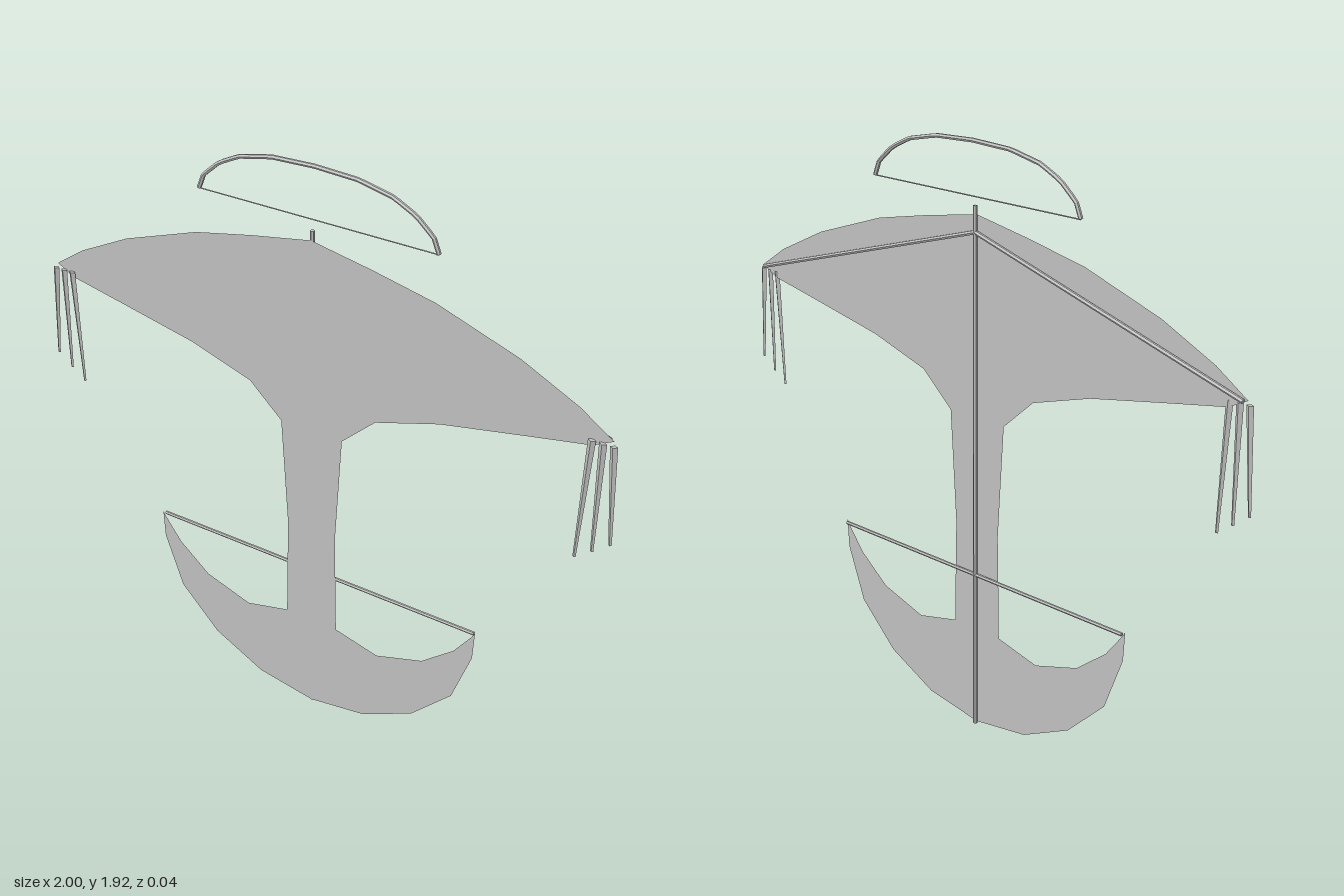
import * as THREE from 'three';

export function createModel() {
  const kite = new THREE.Group();
  kite.name = 'kite';
  const fabric = new THREE.MeshStandardMaterial({ name: 'greyFabric', color: 0xc0c0c0, side: THREE.DoubleSide });
  fabric.flatShading = true;

  const add = (name, geometry) => {
    const mesh = new THREE.Mesh(geometry, fabric);
    mesh.name = name;
    kite.add(mesh);
    return mesh;
  };

  // Straight rod between two points, optionally tapered
  const rod = (name, from, to, r0, r1 = r0, sides = 6) => {
    const a = new THREE.Vector3(...from), b = new THREE.Vector3(...to);
    const dir = b.clone().sub(a);
    const mesh = add(name, new THREE.CylinderGeometry(r1, r0, dir.length(), sides));
    mesh.position.copy(a).add(b).multiplyScalar(0.5);
    mesh.quaternion.setFromUnitVectors(new THREE.Vector3(0, 1, 0), dir.normalize());
    return mesh;
  };

  // Sail: wings, narrow body and crescent tail, one mirrored outline
  const half = [
    [0, 1.692], [0.205, 1.655], [0.41, 1.612], [0.68, 1.52], [0.865, 1.43], [0.972, 1.358],
    [0.91, 1.325], [0.72, 1.288], [0.44, 1.232], [0.225, 1.165], [0.11, 1.06],
    [0.088, 0.69], [0.09, 0.6], [0.095, 0.34], [0.25, 0.302], [0.415, 0.355],
    [0.525, 0.445], [0.585, 0.525], [0.595, 0.543], [0.59, 0.445], [0.525, 0.265],
    [0.385, 0.125], [0.205, 0.035], [0, 0.003],
  ];
  const mirrored = half.slice(1, -1).reverse().map(([x, y]) => [-x, y]);
  const outline = [...half, ...mirrored].map(([x, y]) => new THREE.Vector2(x, y));
  add('sail', new THREE.ShapeGeometry(new THREE.Shape(outline))).position.z = 0.002;

  // Frame behind the sail
  const zr = -0.005;
  rod('spine', [0, 0, zr], [0, 1.72, zr], 0.007);
  rod('tailSpar', [-0.588, 0.535, zr], [0.588, 0.535, zr], 0.006);

  for (const s of [-1, 1]) {
    rod('wingSpar', [0, 1.64, zr], [s * 0.96, 1.355, zr], 0.007);
    // Tapered wingtip streamers: top x, bottom x, bottom y
    for (const [x0, x1, y1] of [[0.975, 0.995, 1.03], [0.943, 0.943, 0.99], [0.91, 0.892, 0.953]]) {
      rod('wingtipStreamer', [s * x0, 1.345, 0.007], [s * x1, y1, 0.007], 0.012, 0.005, 4).scale.z = 0.7;
    }
  }

  // Hummer bow floating above the nose, with its string
  const arc = [[0.405, 1.75], [0.387, 1.795], [0.33, 1.845], [0.257, 1.881], [0.145, 1.905], [0, 1.911]];
  const bow = [...arc.map(([x, y]) => [-x, y]), ...arc.slice(0, -1).reverse()];
  const path = new THREE.CurvePath();
  for (let i = 1; i < bow.length; i++) {
    path.add(new THREE.LineCurve3(
      new THREE.Vector3(...bow[i - 1], -0.015), new THREE.Vector3(...bow[i], -0.015)));
  }
  add('bow', new THREE.TubeGeometry(path, 40, 0.007, 6));
  rod('bowString', [-0.405, 1.749, -0.015], [0.405, 1.749, -0.015], 0.002, 0.002, 4);

  return kite;
}
